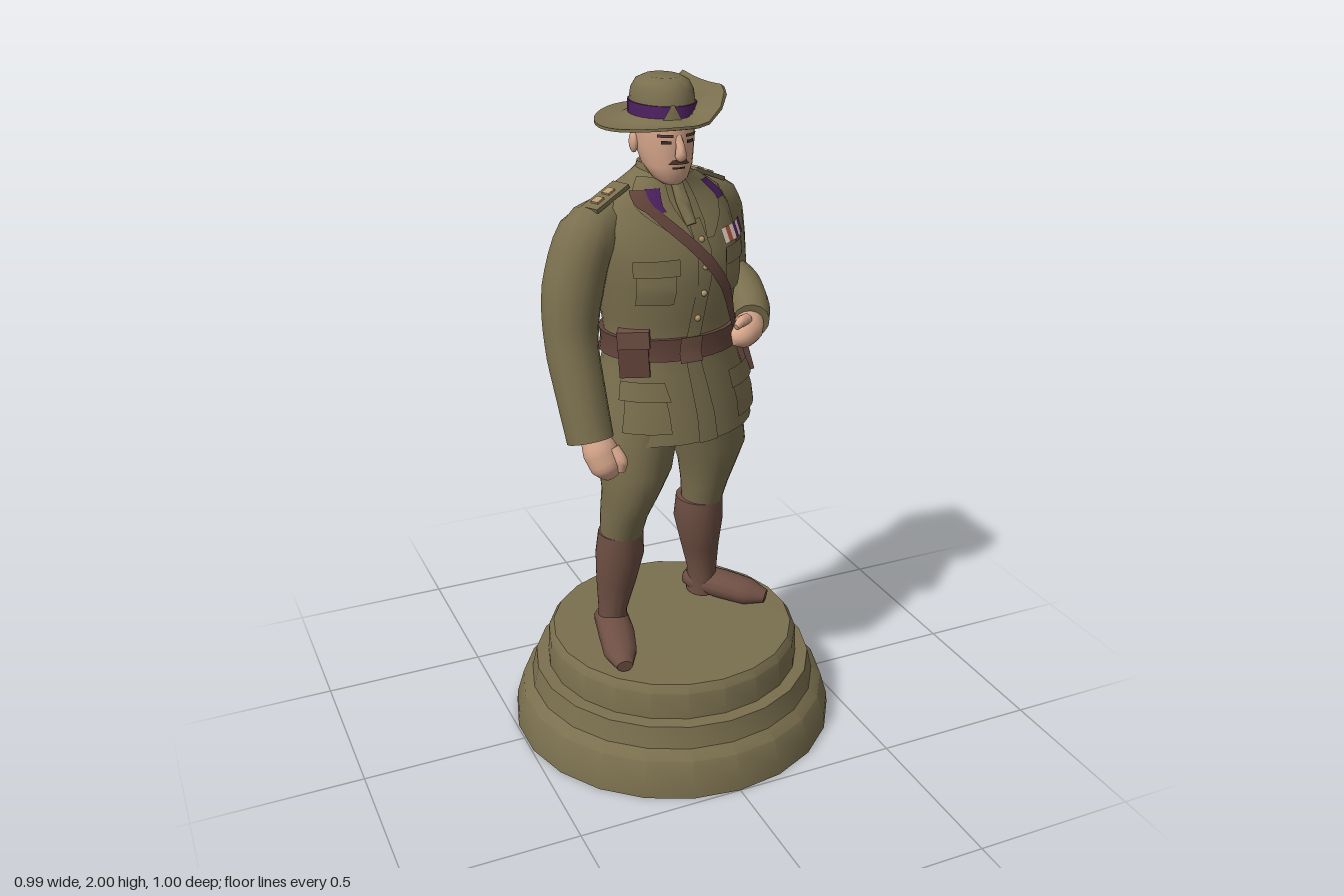
import * as THREE from 'three';
import { toCreasedNormals } from 'three/addons/utils/BufferGeometryUtils.js';

const M = {};
for (const [name, hex] of Object.entries({
  olive: 0x7a6f4e, leather: 0x6e4f43, belt: 0x61433a, skin: 0xd6a68b, hair: 0x573d33,
  purple: 0x4d2160, cream: 0xe3cdbb, red: 0xa8503f, dark: 0x3a2c26, tan: 0xb89a70,
})) {
  M[name] = new THREE.MeshStandardMaterial({ color: hex });
  M[name].name = name;
}
const V = (x, y, z) => new THREE.Vector3(x, y, z);
const lerp = THREE.MathUtils.lerp, rad = THREE.MathUtils.degToRad;

// Grid of points -> surface; closed grids wrap round and get end caps
function skin(rows, closed = true) {
  const n = rows[0].length, pos = [], idx = [];
  rows.forEach(r => r.forEach(p => pos.push(p.x, p.y, p.z)));
  for (let j = 0; j < rows.length - 1; j++) {
    for (let i = 0; i < (closed ? n : n - 1); i++) {
      const a = j * n + i, b = j * n + (i + 1) % n;
      idx.push(a, b, a + n, b, b + n, a + n);
    }
  }
  if (closed) {
    for (const j of [0, rows.length - 1]) {
      const c = V(0, 0, 0);
      rows[j].forEach(p => c.addScaledVector(p, 1 / n));
      const k = pos.length / 3;
      pos.push(c.x, c.y, c.z);
      for (let i = 0; i < n; i++) {
        const a = j * n + i, b = j * n + (i + 1) % n;
        j ? idx.push(k, a, b) : idx.push(k, b, a);
      }
    }
  }
  const g = new THREE.BufferGeometry();
  g.setAttribute('position', new THREE.Float32BufferAttribute(pos, 3));
  g.setIndex(idx);
  return toCreasedNormals(g, 1.0);
}

// Point on a stack of ellipses [y, x, z, halfWidth, halfDepth, yaw]; phi 0 is the front
function at(rings, y, phi, off = 0) {
  let k = 0;
  while (k < rings.length - 2 && rings[k + 1][0] < y) k++;
  const A = rings[k], B = rings[k + 1];
  const t = THREE.MathUtils.clamp((y - A[0]) / (B[0] - A[0]), 0, 1);
  const [, cx, cz, rx, rz, yaw] = [0, 1, 2, 3, 4, 5].map(i => lerp(A[i] || 0, B[i] || 0, t));
  const p = V((rx + off) * Math.sin(phi), 0, (rz + off) * Math.cos(phi));
  return p.applyAxisAngle(V(0, 1, 0), rad(yaw)).add(V(cx, y, cz));
}
const ringAt = (rings, y, off = 0, n = 28) =>
  Array.from({ length: n }, (_, i) => at(rings, y, i / n * Math.PI * 2, off));
const loft = (rings, n = 28) => skin(rings.map(r => ringAt(rings, r[0], 0, n)));
const band = (rings, y0, y1, off) => skin([y0, (y0 + y1) / 2, y1].map(y => ringAt(rings, y, off)));

// Thin patch following a lofted surface; lo and hi are angle ranges in degrees
function patch(rings, y0, y1, lo, hi = lo, off = 0.008) {
  const rows = [];
  for (let j = 0; j <= 8; j++) {
    const t = j / 8, a = lerp(lo[0], hi[0], t), b = lerp(lo[1], hi[1], t);
    rows.push(Array.from({ length: 9 }, (_, i) =>
      at(rings, lerp(y0, y1, t), rad(lerp(a, b, i / 8)), off)));
  }
  return skin(rows, false);
}

// Tapered limb through [x, y, z, radius]; k squashes it across
function limb(pts, k = 1, n = 14) {
  const curve = new THREE.CatmullRomCurve3(pts.map(p => V(p[0], p[1], p[2])));
  const steps = (pts.length - 1) * 4, rows = [];
  for (let j = 0; j <= steps; j++) {
    const t = j / steps, f = t * (pts.length - 1), s = Math.min(Math.floor(f), pts.length - 2);
    const r = lerp(pts[s][3], pts[s + 1][3], f - s);
    const c = curve.getPoint(t), T = curve.getTangent(t);
    const B = V(1, 0, 0).addScaledVector(T, -T.x).normalize(), N = B.clone().cross(T);
    rows.push(Array.from({ length: n }, (_, i) => {
      const a = i / n * Math.PI * 2;
      return c.clone().addScaledVector(N, r * k * Math.cos(a)).addScaledVector(B, r * Math.sin(a));
    }));
  }
  return skin(rows);
}

const jacket = [
  [1.0, 0, 0, 0.255, 0.198, 14], [1.1, 0, 0.0, 0.24, 0.185, 12], [1.2, -0.01, 0.005, 0.212, 0.165, 8],
  [1.27, -0.015, 0.01, 0.19, 0.15, 6], [1.35, -0.015, 0.0, 0.2, 0.158, 10], [1.45, -0.012, -0.012, 0.225, 0.175, 17],
  [1.54, -0.012, -0.03, 0.238, 0.17, 21], [1.61, -0.015, -0.05, 0.24, 0.145, 22], [1.665, -0.02, -0.055, 0.215, 0.112, 20],
  [1.7, -0.02, -0.05, 0.155, 0.09, 17], [1.73, -0.02, -0.04, 0.095, 0.075, 10], [1.75, -0.02, -0.035, 0.068, 0.068, 0],
];
const headRings = [
  [1.72, -0.025, 0.055, 0.026, 0.03], [1.735, -0.025, 0.045, 0.048, 0.052], [1.77, -0.025, 0.022, 0.068, 0.08],
  [1.82, -0.025, 0.002, 0.078, 0.103], [1.87, -0.025, -0.005, 0.082, 0.112], [1.91, -0.025, -0.008, 0.08, 0.108],
];
const crown = [
  [1.885, -0.025, -0.01, 0.086, 0.118], [1.93, -0.025, -0.01, 0.086, 0.114], [1.965, -0.025, -0.01, 0.082, 0.104],
  [1.988, -0.025, -0.008, 0.07, 0.088], [2.0, -0.025, -0.005, 0.046, 0.062],
];

// Hat brim, turned up on the left side
function brim(n = 36) {
  const row = (t, top) => Array.from({ length: n }, (_, i) => {
    const a = i / n * Math.PI * 2, s = Math.sin(a), c = Math.cos(a);
    const w = THREE.MathUtils.smoothstep(s, 0.25, 0.8);
    const x = lerp(-0.025 + 0.075 * s, lerp(-0.035 + 0.175 * s, 0.1, w), t);
    const z = lerp(-0.01 + 0.108 * c, -0.005 + 0.193 * c, t);
    const y = lerp(1.9, 1.872 + 0.018 * c * c + 0.1 * w, t) - 0.012 * Math.sin(t * Math.PI) * (1 - w);
    return V(x - top * 0.01 * w, y + top * 0.008, z);
  });
  return skin([row(0, 0), row(0.35, 0), row(0.7, 0), row(1, 0), row(1, 1), row(0.7, 1), row(0.35, 1), row(0, 1)]);
}

export function createModel() {
  const model = new THREE.Group();
  const add = (name, geo, mat, parent = model) => {
    const m = new THREE.Mesh(geo, mat);
    m.name = name;
    parent.add(m);
    return m;
  };
  const box = (name, mat, size, pos, rot = [0, 0, 0]) => {
    const m = add(name, new THREE.BoxGeometry(...size), mat);
    m.position.set(...pos);
    m.rotation.set(...rot);
    return m;
  };
  const ball = (name, mat, pos, size) => {
    const m = add(name, new THREE.SphereGeometry(1, 12, 8), mat);
    m.position.set(...pos);
    m.scale.set(...size);
  };

  // Stepped round base
  const profile = [[0, 0], [0.5, 0], [0.497, 0.035], [0.475, 0.11], [0.445, 0.135], [0.43, 0.2],
    [0.392, 0.203], [0.388, 0.285], [0.372, 0.308], [0, 0.31]].map(p => new THREE.Vector2(...p));
  add('base', toCreasedNormals(new THREE.LatheGeometry(profile, 22), 0.6), M.olive);

  // Breeches, tall boots and shoes
  add('rightBreeches', loft([[0.66, -0.18, 0.03, 0.062, 0.066], [0.74, -0.175, 0.045, 0.068, 0.085],
    [0.82, -0.158, 0.058, 0.082, 0.105], [0.9, -0.142, 0.058, 0.105, 0.122], [1.06, -0.115, 0.045, 0.112, 0.13]]), M.olive);
  add('leftBreeches', loft([[0.66, 0.14, -0.09, 0.06, 0.07], [0.74, 0.145, -0.08, 0.072, 0.085],
    [0.81, 0.152, -0.075, 0.09, 0.1], [0.88, 0.152, -0.07, 0.113, 0.118], [1.06, 0.12, -0.055, 0.115, 0.13]]), M.olive);
  add('rightBoot', loft([[0.32, -0.2, 0, 0.045, 0.052], [0.4, -0.2, 0.002, 0.042, 0.052], [0.5, -0.19, 0.012, 0.06, 0.063],
    [0.6, -0.182, 0.024, 0.073, 0.074], [0.675, -0.18, 0.03, 0.067, 0.07]]), M.leather);
  add('leftBoot', loft([[0.32, 0.158, -0.12, 0.048, 0.055], [0.4, 0.158, -0.12, 0.046, 0.054], [0.5, 0.145, -0.11, 0.06, 0.068],
    [0.6, 0.135, -0.1, 0.076, 0.086], [0.675, 0.136, -0.095, 0.072, 0.079]]), M.leather);
  add('rightShoe', limb([[-0.188, 0.345, -0.06, 0.03], [-0.195, 0.352, -0.03, 0.052], [-0.215, 0.348, 0.07, 0.055],
    [-0.238, 0.338, 0.16, 0.05], [-0.25, 0.33, 0.225, 0.024]], 0.78), M.leather);
  add('leftShoe', limb([[0.125, 0.345, -0.165, 0.03], [0.145, 0.352, -0.14, 0.052], [0.21, 0.348, -0.07, 0.055],
    [0.27, 0.338, -0.01, 0.05], [0.315, 0.33, 0.03, 0.024]], 0.78), M.leather);

  // Jacket with placket, pockets and collar
  add('jacket', loft(jacket, 32), M.olive);
  add('placket', patch(jacket, 1.0, 1.62, [-12, 2], [-8, 3], 0.006), M.olive);
  for (const [side, s] of [['right', -1], ['left', 1]]) {
    const span = (a, b) => s > 0 ? [a, b] : [-b - 8, -a - 8];
    add(side + 'ChestPocket', patch(jacket, 1.41, 1.53, span(18, 48)), M.olive);
    add(side + 'ChestPocketFlap', patch(jacket, 1.49, 1.535, span(16, 50), span(16, 50), 0.014), M.olive);
    add(side + 'HipPocket', patch(jacket, 1.04, 1.18, span(22, 58), span(24, 54), 0.012), M.olive);
    add(side + 'HipPocketFlap', patch(jacket, 1.135, 1.19, span(20, 59), span(22, 57), 0.02), M.olive);
    add(side + 'Lapel', patch(jacket, 1.57, 1.735, span(1, 8), span(12, 60), 0.012), M.olive);
    add(side + 'CollarTab', patch(jacket, 1.65, 1.708, s > 0 ? [29, 41] : [-36, -22], s > 0 ? [31, 46] : [-44, -26], 0.016), M.purple);
  }
  for (let i = 0; i < 4; i++) {
    const p = at(jacket, 1.36 + i * 0.07, rad(-3), 0.008);
    ball('button', M.tan, p.toArray(), [0.009, 0.009, 0.007]);
  }
  add('collar', skin([[1.715, 0.078], [1.765, 0.066], [1.765, 0.058]].map(([y, r]) =>
    ringAt([[1, -0.02, -0.032, r, r], [3, -0.02, -0.032, r, r]], y))), M.olive);
  add('tie', limb([[0.012, 1.61, 0.105, 0.016], [0.0, 1.67, 0.073, 0.02], [-0.008, 1.73, 0.04, 0.016]], 0.6), M.olive);

  // Medal ribbons
  const ribbons = ['cream', 'red', 'cream', 'purple', 'cream', 'purple', 'purple'];
  ribbons.forEach((c, i) =>
    add('ribbon', patch(jacket, 1.545, 1.583, [15 + i * 5.5, 20.5 + i * 5.5], undefined, 0.018), M[c]));

  // Belt, shoulder strap, pouch and frog
  add('belt', band(jacket, 1.245, 1.308, 0.013), M.belt);
  add('buckle', patch(jacket, 1.24, 1.313, [-16, 2], undefined, 0.02), M.leather);
  add('shoulderStrap', patch(jacket, 1.3, 1.655, [40, 50], [-38, -27], 0.017), M.belt);
  add('shoulderStrapTop', patch(jacket, 1.655, 1.705, [-38, -27], [-62, -42], 0.017), M.belt);
  box('pouch', M.belt, [0.085, 0.13, 0.045], [-0.165, 1.265, 0.115], [0, -0.5, 0.06]);
  box('pouchFlap', M.leather, [0.09, 0.05, 0.052], [-0.165, 1.31, 0.116], [0, -0.5, 0.06]);
  box('frog', M.belt, [0.02, 0.13, 0.05], [0.216, 1.19, 0.02], [-0.35, 0.1, 0.15]);

  // Shoulder boards with rank pips
  for (const [side, x, y, z, tilt] of [['right', -0.205, 1.69, 0.022, 0.38], ['left', 0.155, 1.69, -0.127, -0.38]]) {
    const board = box(side + 'ShoulderBoard', M.olive, [0.13, 0.012, 0.06], [x, y, z], [0, 0.4, tilt]);
    for (const dx of [-0.03, 0.015]) {
      const pip = add('rankPip', new THREE.BoxGeometry(0.026, 0.008, 0.026), M.tan, board);
      pip.position.set(dx, 0.008, 0);
    }
  }

  // Arms: right hanging, left bent to the belt
  add('rightSleeve', limb([[-0.17, 1.63, -0.015, 0.065], [-0.262, 1.585, 0.025, 0.085], [-0.315, 1.45, 0.045, 0.086],
    [-0.332, 1.31, 0.07, 0.075], [-0.325, 1.17, 0.115, 0.07], [-0.315, 1.045, 0.155, 0.066]]), M.olive);
  add('rightHand', limb([[-0.31, 1.07, 0.155, 0.036], [-0.297, 1.02, 0.178, 0.05], [-0.283, 0.975, 0.195, 0.046],
    [-0.27, 0.945, 0.2, 0.022]], 0.85), M.skin);
  add('rightThumb', limb([[-0.265, 1.03, 0.2, 0.018], [-0.25, 0.995, 0.222, 0.018], [-0.25, 0.965, 0.222, 0.01]]), M.skin);
  add('leftUpperSleeve', limb([[0.11, 1.63, -0.11, 0.065], [0.195, 1.585, -0.165, 0.09], [0.235, 1.47, -0.21, 0.092],
    [0.258, 1.37, -0.228, 0.086], [0.265, 1.3, -0.22, 0.055]]), M.olive);
  add('leftForearm', limb([[0.26, 1.345, -0.25, 0.05], [0.268, 1.335, -0.215, 0.082], [0.272, 1.32, -0.12, 0.076],
    [0.262, 1.295, -0.03, 0.063], [0.232, 1.28, 0.045, 0.055]]), M.olive);
  add('leftHand', limb([[0.24, 1.28, 0.03, 0.038], [0.205, 1.272, 0.075, 0.048], [0.17, 1.265, 0.103, 0.042],
    [0.135, 1.262, 0.11, 0.02]], 0.9), M.skin);
  add('leftThumb', limb([[0.195, 1.305, 0.09, 0.018], [0.165, 1.31, 0.115, 0.016], [0.145, 1.3, 0.125, 0.009]]), M.skin);

  // Head
  add('neck', loft([[1.69, -0.02, -0.03, 0.056, 0.06], [1.84, -0.025, -0.02, 0.058, 0.07]], 18), M.skin);
  add('head', loft(headRings, 24), M.skin);
  add('hair', patch(headRings, 1.785, 1.9, [118, 242], [82, 278], 0.006), M.hair);
  add('nose', limb([[-0.025, 1.855, 0.1, 0.008], [-0.025, 1.82, 0.116, 0.014], [-0.025, 1.803, 0.116, 0.016],
    [-0.025, 1.797, 0.1, 0.008]]), M.skin);
  add('moustache', patch(headRings, 1.78, 1.793, [-24, 24], [-14, 14], 0.007), M.hair);
  add('mouth', patch(headRings, 1.767, 1.772, [-15, 15], undefined, 0.004), M.dark);
  for (const s of [-1, 1]) {
    const side = s < 0 ? 'right' : 'left';
    const span = (a, b) => s > 0 ? [a, b] : [-b, -a];
    add(side + 'Eye', patch(headRings, 1.835, 1.844, span(16, 34), undefined, 0.004), M.dark);
    add(side + 'Eyebrow', patch(headRings, 1.853, 1.861, span(12, 40), undefined, 0.006), M.hair);
    ball(side + 'Ear', M.skin, [-0.025 + s * 0.082, 1.825, -0.015], [0.012, 0.03, 0.02]);
  }

  // Slouch hat with purple band
  add('hatCrown', loft(crown), M.olive);
  add('hatBrim', brim(), M.olive);
  add('hatBand', band(crown, 1.9, 1.934, 0.004), M.purple);
  add('hatBandFold', patch(crown, 1.9, 1.94, [-28, 2], [-14, -10], 0.008), M.olive);
  return model;
}
